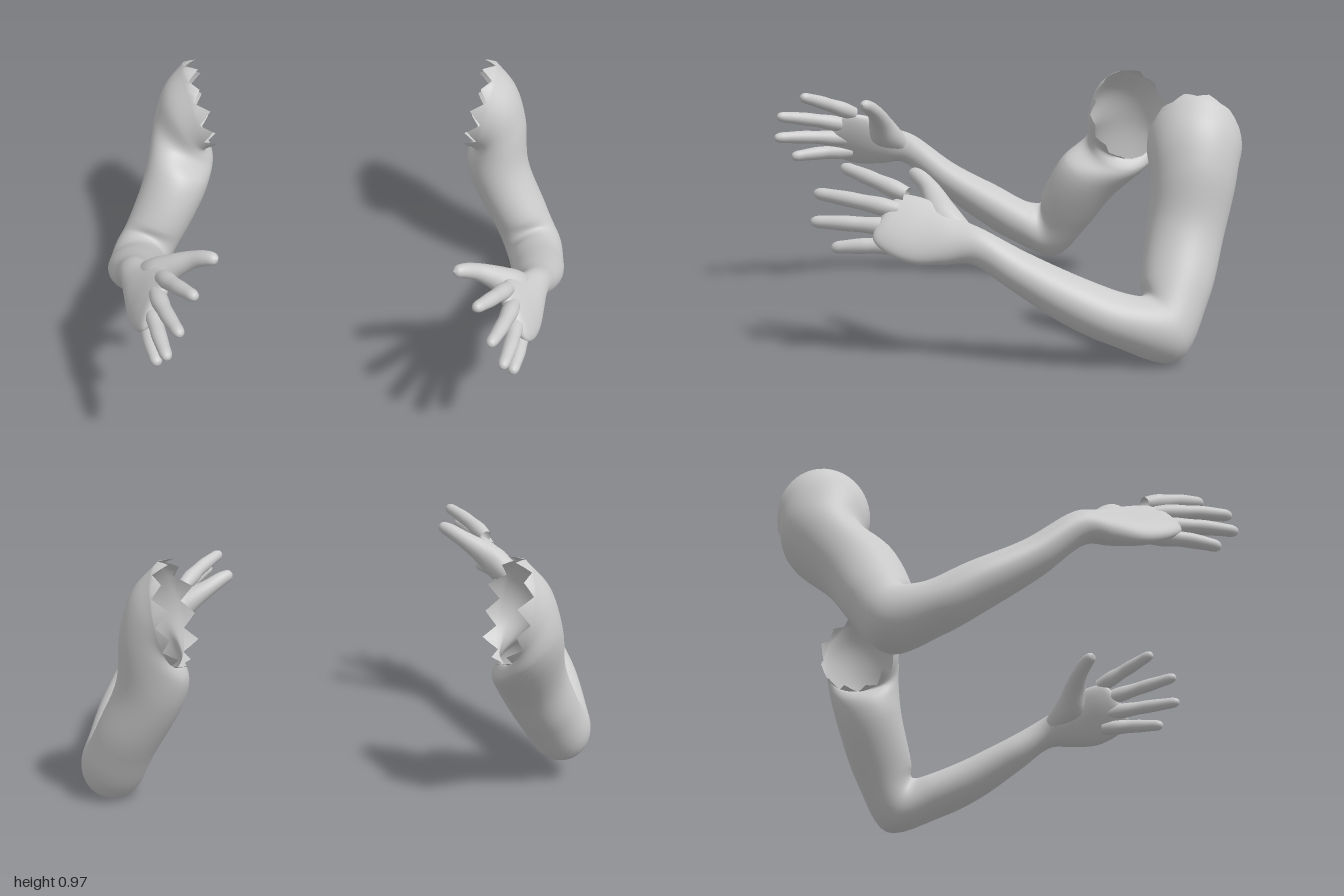
import * as THREE from 'three';

const V = (a) => new THREE.Vector3(a[0], a[1], a[2]);
const skin = new THREE.MeshStandardMaterial({ color: 0xcccccc, side: THREE.DoubleSide });

// directions that the first radius of a cross-section points along
const FWD = [0, 0, 1], BEND = [0, 0.7, 0.7], UP = [0, 1, 0], TURN = [-0.25, 0.95, 0], PALM = [-0.54, 0.84, -0.1];

// Smooth skin through elliptical sections [x, y, z, radiusU, radiusV, direction of U, optional axis]
function loft(name, keys, side, { cols = 48, steps = 6, teeth = 0 } = {}) {
  const centres = keys.map(V);
  const tangents = centres.map((c, i) => {
    if (keys[i][6]) return V(keys[i][6]).normalize();
    const a = centres[Math.max(i - 1, 0)], b = centres[Math.min(i + 1, keys.length - 1)];
    const t = new THREE.Vector3();
    if (a !== c) t.add(c.clone().sub(a).normalize());
    if (b !== c) t.add(b.clone().sub(c).normalize());
    return t.normalize();
  });
  const rows = (keys.length - 1) * steps + 1;
  const grid = Array.from({ length: rows }, () => []);
  for (let j = 0; j < cols; j++) {
    const a = (j / cols) * Math.PI * 2;
    const column = keys.map((k, i) => {
      const t = tangents[i], u = V(k[5]);
      u.addScaledVector(t, -u.dot(t)).normalize();
      const v = t.clone().cross(u);
      return centres[i].clone().addScaledVector(u, k[3] * Math.cos(a)).addScaledVector(v, k[4] * Math.sin(a));
    });
    const curve = new THREE.CatmullRomCurve3(column);
    for (let r = 0; r < rows; r++) grid[r].push(curve.getPoint(r / (rows - 1)));
  }
  // torn edge: a zigzag row in front of the first section
  if (teeth) {
    const per = cols / teeth;
    grid.unshift(grid[0].map((p, j) => {
      const wave = 1 - Math.abs(((j % per) / per) * 2 - 1);
      const height = 0.048 + 0.012 * Math.sin(Math.floor(j / per) * 2.4);
      return p.clone().addScaledVector(tangents[0], -wave * height);
    }));
  }
  const pos = [], index = [];
  grid.forEach((row) => row.forEach((p) => pos.push(p.x * side, p.y, p.z)));
  for (let r = 0; r < grid.length - 1; r++) {
    for (let j = 0; j < cols; j++) {
      const a = r * cols + j, b = r * cols + ((j + 1) % cols), c = a + cols, d = b + cols;
      if (side > 0) index.push(a, b, c, b, d, c);
      else index.push(a, c, b, b, c, d);
    }
  }
  const geo = new THREE.BufferGeometry();
  geo.setAttribute('position', new THREE.Float32BufferAttribute(pos, 3));
  geo.setIndex(index);
  geo.computeVertexNormals();
  const mesh = new THREE.Mesh(geo, skin);
  mesh.name = name;
  return mesh;
}

// shoulder, shared by both arms; its opening faces inward and a little back
const shoulder = [
  [0.635, 0.76, -0.697, 0.178, 0.2, FWD, [1, -0.17, 0.2]],
  [0.676, 0.707, -0.69, 0.167, 0.17, FWD, [0.866, -0.5, 0.08]],
  [0.69, 0.61, -0.68, 0.158, 0.157, FWD, [0.62, -0.78, 0.08]],
];
// wrist and palm, shared by both arms
const palm = [
  [0.79, 0.424, 0.14, 0.067, 0.062, TURN],
  [0.757, 0.442, 0.235, 0.094, 0.058, PALM],
  [0.724, 0.466, 0.33, 0.126, 0.049, PALM],
  [0.69, 0.5, 0.42, 0.124, 0.039, PALM],
  [0.672, 0.523, 0.468, 0.098, 0.025, PALM],
  [0.666, 0.53, 0.482, 0.002, 0.002, PALM],
];
// base and tip of each finger
const fingers = {
  indexFinger: [[0.65, 0.6, 0.39], [0.5, 0.69, 0.625]],
  middleFinger: [[0.672, 0.545, 0.42], [0.553, 0.6, 0.73]],
  ringFinger: [[0.69, 0.482, 0.42], [0.605, 0.5, 0.745]],
  littleFinger: [[0.718, 0.422, 0.4], [0.654, 0.408, 0.67]],
};
// position along the finger, radius
const fingerProfile = [[0, 0.029], [0.2, 0.034], [0.42, 0.029], [0.58, 0.029], [0.8, 0.025], [0.93, 0.022], [0.985, 0.013], [1, 0.001]];
const thumb = [
  [0.75, 0.455, 0.18, 0.042, 0.042, PALM],
  [0.68, 0.515, 0.26, 0.066, 0.06, PALM],
  [0.605, 0.572, 0.279, 0.046, 0.047, PALM],
  [0.535, 0.615, 0.302, 0.034, 0.035, PALM],
  [0.48, 0.645, 0.334, 0.029, 0.029, PALM],
  [0.45, 0.656, 0.353, 0.021, 0.02, PALM],
  [0.438, 0.66, 0.36, 0.001, 0.001, PALM],
];

function makeArm(name, side, middle, handShift) {
  const shift = (k) => [k[0] + handShift[0], k[1] + handShift[1], k[2] + handShift[2], ...k.slice(3)];
  const arm = new THREE.Group();
  arm.name = name;
  arm.add(loft('armAndPalm', [...shoulder, ...middle, ...palm.map(shift)], side, { teeth: 12 }));
  arm.add(loft('thumb', thumb.map(shift), side, { cols: 20, steps: 4 }));
  for (const [finger, [base, tip]] of Object.entries(fingers)) {
    const keys = fingerProfile.map(([f, r]) => {
      const p = V(base).lerp(V(tip), f);
      // slight arch towards the back of the hand
      p.addScaledVector(new THREE.Vector3(0.75, 0.5, 0.3), 0.01 * Math.sin(Math.PI * f));
      return shift([p.x, p.y, p.z, r, r, PALM]);
    });
    arm.add(loft(finger, keys, side, { cols: 20, steps: 4 }));
  }
  return arm;
}

export function createModel() {
  const model = new THREE.Group();
  model.name = 'pairOfArms';
  // upper arm, elbow and forearm of each side
  const leftMiddle = [
    [0.71, 0.46, -0.65, 0.146, 0.133, FWD],
    [0.813, 0.25, -0.588, 0.13, 0.122, FWD],
    [0.875, 0.122, -0.522, 0.136, 0.124, BEND],
    [0.87, 0.162, -0.36, 0.098, 0.118, UP],
    [0.854, 0.23, -0.2, 0.091, 0.11, UP],
    [0.816, 0.341, 0, 0.073, 0.086, UP],
  ];
  const rightMiddle = [
    [0.724, 0.47, -0.535, 0.148, 0.138, FWD],
    [0.81, 0.3, -0.445, 0.13, 0.124, FWD],
    [0.873, 0.2, -0.378, 0.13, 0.122, BEND],
    [0.882, 0.243, -0.235, 0.097, 0.117, UP],
    [0.872, 0.33, -0.09, 0.091, 0.11, UP],
    [0.838, 0.46, 0.11, 0.073, 0.087, UP],
  ];
  model.add(makeArm('leftArm', 1, leftMiddle, [0, 0, 0]));
  model.add(makeArm('rightArm', -1, rightMiddle, [0.022, 0.175, 0.147]));
  return model;
}
